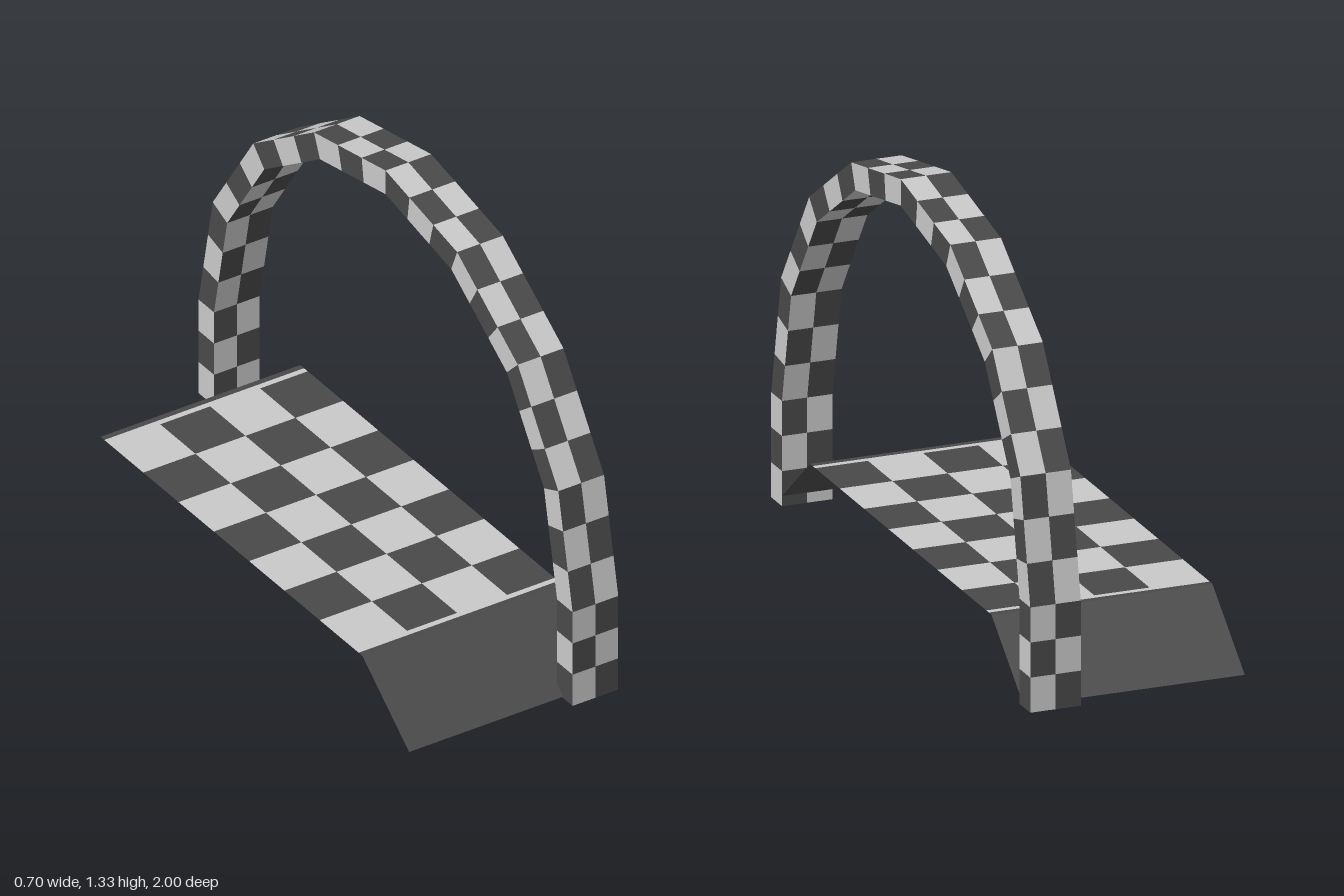
import * as THREE from 'three';

const makeMaterial = (name, color) => {
  const m = new THREE.MeshStandardMaterial({ color, side: THREE.DoubleSide });
  m.name = name;
  return m;
};

// Collects four-cornered faces and turns them into one flat-faced mesh
class FaceSet {
  constructor() { this.points = []; }
  quad(a, b, c, d) { this.points.push(...a, ...b, ...c, ...a, ...c, ...d); }
  mesh(name, material) {
    const g = new THREE.BufferGeometry();
    g.setAttribute('position', new THREE.Float32BufferAttribute(this.points, 3));
    g.computeVertexNormals();
    const mesh = new THREE.Mesh(g, material);
    mesh.name = name;
    return mesh;
  }
}

// Horizontal or sloping sheet, facing up; z0 < z1
function sheet(set, x0, x1, z0, y0, z1, y1) {
  set.quad([x0, y0, z0], [x0, y1, z1], [x1, y1, z1], [x1, y0, z0]);
}

function createArch(light, dark) {
  const x0 = 0.19, x1 = 0.35, xm = 0.27;
  const outerR = 1, innerR = 0.917, spring = 0.328;
  const segments = 8, cellsPerSegment = 3;

  // Knee positions from the front foot over the top to the back foot: [z, y]
  const path = (r) => {
    const pts = [[r, 0]];
    for (let i = 0; i <= segments; i++) {
      const a = (i / segments) * Math.PI;
      pts.push([r * Math.cos(a), spring + r * Math.sin(a)]);
    }
    pts.push([-r, 0]);
    return pts;
  };
  const outer = path(outerR), inner = path(innerR);

  // Six-point ring around the bar at a given place along the path
  const ring = (seg, t) => {
    const at = (p) => p[seg].map((v, k) => v + (p[seg + 1][k] - v) * t);
    const [oz, oy] = at(outer), [iz, iy] = at(inner);
    return [
      [x0, iy, iz], [x0, oy, oz], [xm, oy, oz],
      [x1, oy, oz], [x1, iy, iz], [xm, iy, iz],
    ];
  };

  // Checks alternate both along the bar and around it
  const sets = [new FaceSet(), new FaceSet()];
  let row = 0;
  for (let s = 0; s < outer.length - 1; s++) {
    for (let c = 0; c < cellsPerSegment; c++, row++) {
      const a = ring(s, c / cellsPerSegment), b = ring(s, (c + 1) / cellsPerSegment);
      for (let k = 0; k < 6; k++) {
        const n = (k + 1) % 6;
        sets[(row + k) % 2 === 0 ? 1 : 0].quad(a[k], a[n], b[n], b[k]);
      }
    }
  }

  // Foot undersides
  for (const [z0, z1] of [[innerR, outerR], [-outerR, -innerR]]) {
    sets[1].quad([x0, 0, z0], [x1, 0, z0], [x1, 0, z1], [x0, 0, z1]);
  }

  const group = new THREE.Group();
  group.name = 'arch';
  group.add(sets[0].mesh('archLightChecks', light), sets[1].mesh('archDarkChecks', dark));
  return group;
}

function createBridge(light, dark, ramp) {
  const top = 0.205, foot = 0.005;
  const columns = [-0.35, -0.167, 0.008, 0.183, 0.35];
  const rows = 7, checkEnd = 0.66, step = (2 * checkEnd) / rows;
  const left = columns[0], right = columns[4];
  const sets = [new FaceSet(), new FaceSet()];

  // Checked deck
  for (let r = 0; r < rows; r++) {
    const z = -checkEnd + r * step;
    for (let c = 0; c < 4; c++) {
      sheet(sets[(r + c) % 2], columns[c], columns[c + 1], z, top, z + step, top);
    }
  }
  // Row 0 has light outer cells, so even sums are light
  // Plain light and dark bands across both ends of the deck
  sheet(sets[0], left, right, -0.68, top, -checkEnd, top);
  sheet(sets[0], left, right, checkEnd, top, 0.68, top);
  sheet(sets[1], left, right, -0.7, top, -0.68, top);
  sheet(sets[1], left, right, 0.68, top, 0.7, top);

  const front = new FaceSet(), back = new FaceSet();
  sheet(front, left, right, 0.7, top, 0.95, foot);
  sheet(back, left, right, -0.95, foot, -0.7, top);

  const group = new THREE.Group();
  group.name = 'bridge';
  group.add(
    sets[0].mesh('deckLightChecks', light),
    sets[1].mesh('deckDarkChecks', dark),
    front.mesh('frontRamp', ramp),
    back.mesh('backRamp', ramp),
  );
  return group;
}

export function createModel() {
  const light = makeMaterial('light grey', 0xc9c9c9);
  const dark = makeMaterial('dark grey', 0x494949);
  const ramp = makeMaterial('ramp grey', 0x4c4c4c);

  const model = new THREE.Group();
  model.name = 'archAndBridge';
  model.add(createArch(light, dark), createBridge(light, dark, ramp));
  return model;
}
